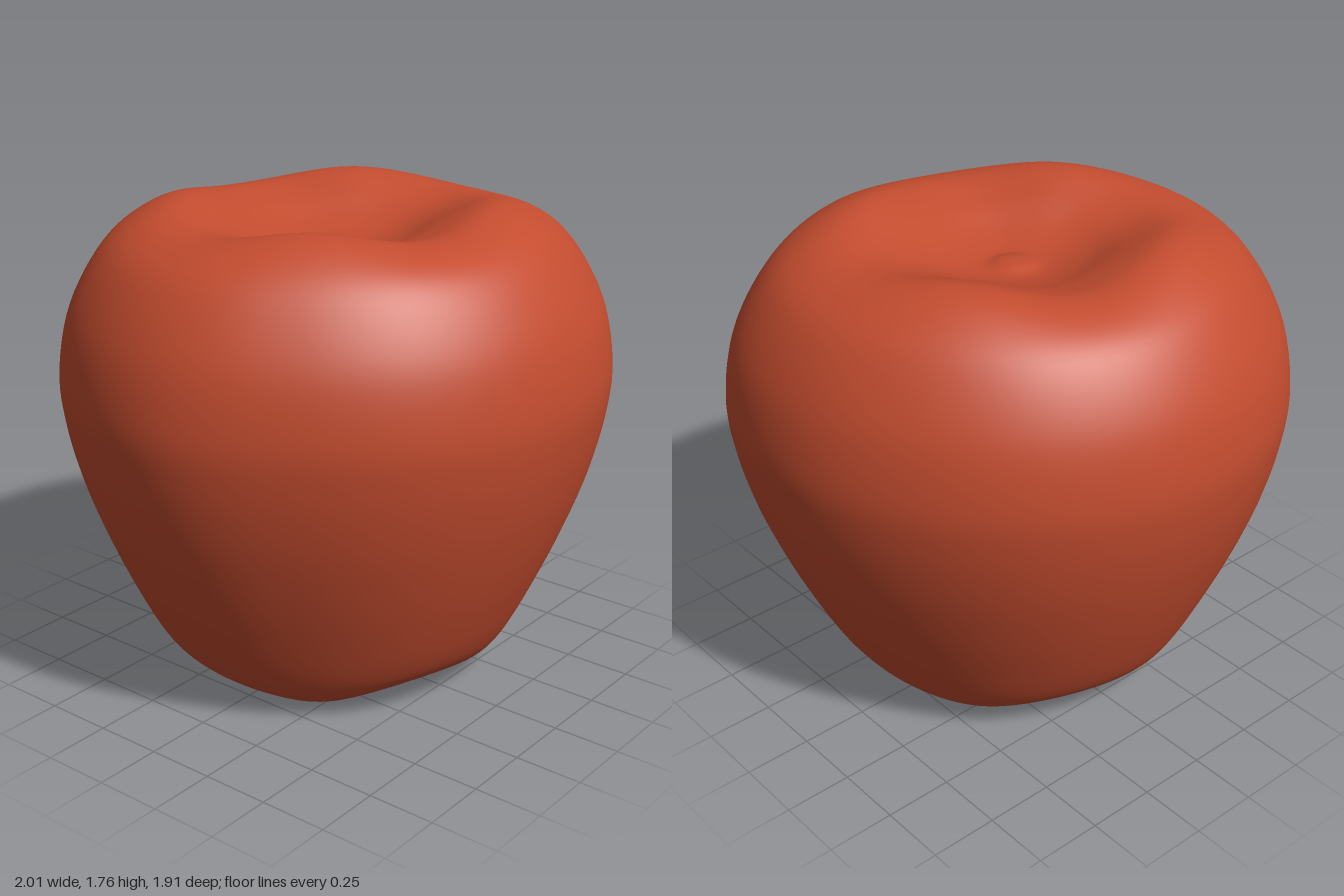
import * as THREE from 'three';
import { mergeVertices } from 'three/addons/utils/BufferGeometryUtils.js';

// Half section from the bottom hollow, over the shoulder, into the top hollow
const SECTION = [
  [0, 0.24], [0.1, 0.18], [0.24, 0.09], [0.38, 0.043], [0.5, 0.047], [0.605, 0.1], [0.685, 0.2],
  [0.785, 0.4], [0.87, 0.6], [0.94, 0.8], [0.987, 1.0], [1, 1.18], [0.955, 1.4], [0.84, 1.6],
  [0.71, 1.7], [0.56, 1.737], [0.4, 1.695], [0.25, 1.632], [0.12, 1.602], [0.05, 1.615], [0, 1.62],
];

// Slightly irregular outline seen from above: radius every 30 degrees, from +x towards +z
const OUTLINE = [1, 1.03, 0.995, 0.95, 0.93, 0.935, 1, 0.995, 0.98, 0.955, 0.945, 0.955];

function createBodyGeometry() {
  const profile = new THREE.SplineCurve(SECTION.map(([r, y]) => new THREE.Vector2(r, y))).getPoints(120);
  profile[0].x = profile[profile.length - 1].x = 0;
  const outline = new THREE.CatmullRomCurve3(
    OUTLINE.map((r) => new THREE.Vector3(r, 0, 0)), true, 'catmullrom', 0.5);

  const geometry = new THREE.LatheGeometry(profile, 120);
  const pos = geometry.attributes.position;
  for (let i = 0; i < pos.count; i++) {
    const x = pos.getX(i), y = pos.getY(i), z = pos.getZ(i);
    const r = Math.hypot(x, z);
    const angle = (Math.atan2(z, x) + Math.PI * 2) % (Math.PI * 2);
    const scale = outline.getPoint(angle / (Math.PI * 2)).x;

    // Four lobes around both hollows, fading towards the core and the sides
    const lobe = Math.cos(4 * (angle - Math.PI / 3));
    const top = 0.024 * Math.exp(-(((r - 0.53) / 0.22) ** 2)) * THREE.MathUtils.smoothstep(y, 1.2, 1.6);
    const bottom = 0.042 * Math.exp(-(((r - 0.4) / 0.22) ** 2)) * (1 - THREE.MathUtils.smoothstep(y, 0.1, 0.5));
    pos.setXYZ(i, x * scale, y + lobe * (top - bottom), z * scale);
  }

  // Weld the seam and the poles so the skin shades smoothly
  geometry.deleteAttribute('uv');
  geometry.deleteAttribute('normal');
  const welded = mergeVertices(geometry, 1e-4);
  welded.computeVertexNormals();

  // Centre on x and z and stand on the ground
  welded.computeBoundingBox();
  const { min, max } = welded.boundingBox;
  welded.translate(-(min.x + max.x) / 2, -min.y, -(min.z + max.z) / 2);
  return welded;
}

export function createModel() {
  const skin = new THREE.MeshStandardMaterial({ color: 0xc34c2f });
  skin.name = 'red skin';

  const group = new THREE.Group();
  group.name = 'apple';
  const body = new THREE.Mesh(createBodyGeometry(), skin);
  body.name = 'appleBody';
  group.add(body);
  return group;
}
